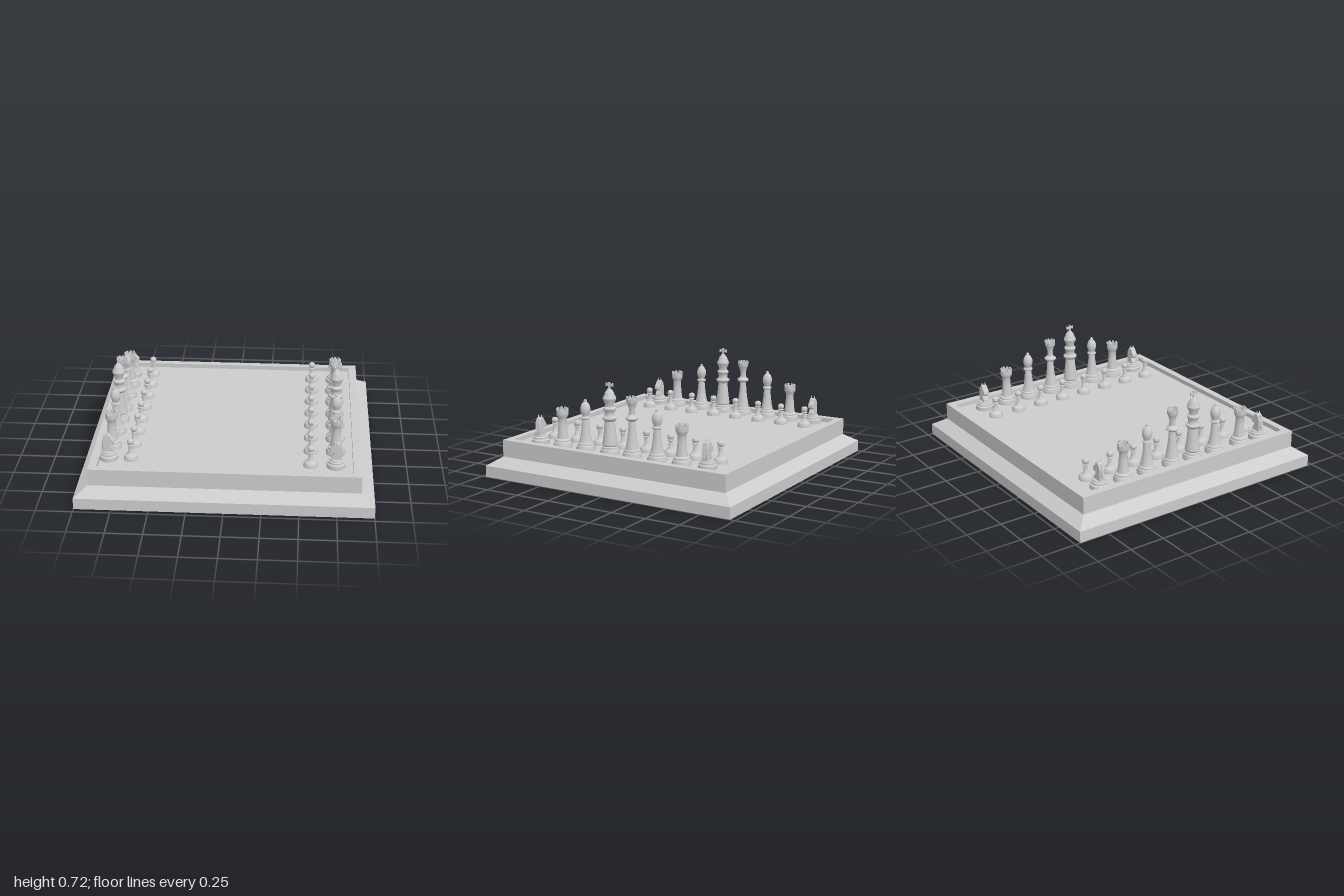
import * as THREE from 'three';
import { toCreasedNormals } from 'three/addons/utils/BufferGeometryUtils.js';

const FLOOR = 0.225;
const mat = new THREE.MeshStandardMaterial({ color: 0xcccccc });
const solid = new THREE.MeshStandardMaterial({ color: 0xcccccc, side: THREE.DoubleSide });

function mesh(name, geometry, material = mat) {
  const m = new THREE.Mesh(geometry, material);
  m.name = name;
  return m;
}

// Turned body from [radius, height] points
function turned(name, profile) {
  const pts = profile.map(([r, y]) => new THREE.Vector2(r, y));
  return mesh(name, toCreasedNormals(new THREE.LatheGeometry(pts, 24), 0.5), solid);
}

// Small blocks standing in a ring, for battlements and crown points
function ringOfBlocks(name, count, radius, y, w, h, d) {
  const g = new THREE.Group();
  g.name = name;
  for (let i = 0; i < count; i++) {
    const a = (i / count) * Math.PI * 2;
    const b = mesh(name + 'Block', new THREE.BoxGeometry(w, h, d));
    b.position.set(Math.sin(a) * radius, y, Math.cos(a) * radius);
    b.rotation.y = a;
    g.add(b);
  }
  return g;
}

function piece(name, ...parts) {
  const g = new THREE.Group();
  g.name = name;
  g.add(...parts);
  return g;
}

// Board: rectangular sections [half width, half depth, height] joined in loops
function board() {
  const rings = [[0, 0, 0], [1, 0.965, 0], [1, 0.965, 0.08], [0.91, 0.88, 0.137], [0.91, 0.88, 0.256],
    [0.855, 0.83, 0.256], [0.855, 0.83, FLOOR], [0, 0, FLOOR]];
  const corners = [[1, 1], [1, -1], [-1, -1], [-1, 1]];
  const at = (r, c) => [r[0] * corners[c % 4][0], r[2], r[1] * corners[c % 4][1]];
  const pos = [];
  for (let i = 0; i < rings.length - 1; i++) {
    const lo = rings[i], hi = rings[i + 1];
    for (let c = 0; c < 4; c++) {
      if (lo[0] > 0) pos.push(...at(lo, c), ...at(lo, c + 1), ...at(hi, c + 1));
      if (hi[0] > 0) pos.push(...at(lo, c), ...at(hi, c + 1), ...at(hi, c));
    }
  }
  const geo = new THREE.BufferGeometry();
  geo.setAttribute('position', new THREE.Float32BufferAttribute(pos, 3));
  geo.computeVertexNormals();
  return mesh('board', geo);
}

// Wide stepped foot shared by the tall pieces
const foot = [[0, 0], [0.067, 0], [0.067, 0.016], [0.06, 0.034], [0.054, 0.038], [0.054, 0.05], [0.046, 0.055]];

function pawn() {
  return piece('pawn', turned('pawnBody', [[0, 0], [0.049, 0], [0.049, 0.014], [0.042, 0.03], [0.025, 0.042],
    [0.016, 0.06], [0.013, 0.085], [0.013, 0.098], [0.022, 0.102], [0.022, 0.108], [0.016, 0.111],
    [0.022, 0.12], [0.024, 0.13], [0.021, 0.141], [0.013, 0.148], [0, 0.151]]));
}

function rook() {
  return piece('rook',
    turned('rookBody', [...foot, [0.04, 0.06], [0.034, 0.1], [0.03, 0.15], [0.028, 0.195], [0.032, 0.205],
      [0.042, 0.225], [0.042, 0.255], [0.031, 0.255], [0.031, 0.235], [0, 0.235]]),
    ringOfBlocks('battlements', 8, 0.0365, 0.262, 0.017, 0.016, 0.01));
}

function bishop() {
  return piece('bishop', turned('bishopBody', [...foot, [0.043, 0.065], [0.034, 0.11], [0.027, 0.17],
    [0.024, 0.215], [0.033, 0.221], [0.033, 0.229], [0.024, 0.234], [0.024, 0.245], [0.031, 0.26],
    [0.035, 0.28], [0.033, 0.3], [0.025, 0.32], [0.014, 0.333], [0.01, 0.336], [0.011, 0.344], [0.006, 0.351], [0, 0.352]]));
}

function queen() {
  return piece('queen',
    turned('queenBody', [...foot, [0.044, 0.065], [0.034, 0.12], [0.026, 0.19], [0.022, 0.245], [0.032, 0.251],
      [0.043, 0.262], [0.043, 0.27], [0.03, 0.279], [0.022, 0.29], [0.02, 0.325], [0.026, 0.345],
      [0.028, 0.355], [0.037, 0.37], [0.039, 0.395], [0.028, 0.395], [0.024, 0.378], [0, 0.378]]),
    ringOfBlocks('crownPoints', 10, 0.034, 0.402, 0.013, 0.015, 0.009));
}

function king() {
  const upright = mesh('crossUpright', new THREE.BoxGeometry(0.012, 0.05, 0.012));
  upright.position.y = 0.466;
  const arm = mesh('crossArm', new THREE.BoxGeometry(0.012, 0.012, 0.05));
  arm.position.y = 0.473;
  const armTips = [-1, 1].map((s) => {
    const t = mesh('crossTip', new THREE.BoxGeometry(0.012, 0.022, 0.008));
    t.position.set(0, 0.473, s * 0.024);
    return t;
  });
  return piece('king',
    turned('kingBody', [...foot, [0.052, 0.065], [0.046, 0.11], [0.039, 0.17], [0.034, 0.225], [0.042, 0.231],
      [0.05, 0.243], [0.05, 0.252], [0.038, 0.258], [0.033, 0.27], [0.034, 0.29], [0.043, 0.305], [0.043, 0.315],
      [0.03, 0.325], [0.03, 0.342], [0.042, 0.368], [0.046, 0.381], [0.043, 0.39], [0.034, 0.405],
      [0.031, 0.42], [0.018, 0.437], [0.012, 0.445], [0, 0.447]]),
    upright, arm, ...armTips);
}

// Horse head faces +x
function knight() {
  const s = new THREE.Shape([[-0.032, 0.055], [0.03, 0.055], [0.028, 0.075], [0.014, 0.1], [0.013, 0.117],
    [0.03, 0.112], [0.04, 0.122], [0.037, 0.14], [0.02, 0.16], [0.01, 0.178], [-0.006, 0.181],
    [-0.022, 0.168], [-0.033, 0.14], [-0.035, 0.1]].map(([x, y]) => new THREE.Vector2(x, y)));
  const slab = (w) => new THREE.ExtrudeGeometry(s, { depth: w, bevelEnabled: true, bevelSize: 0.003,
    bevelThickness: 0.005, bevelSegments: 1 }).translate(0, 0, -w / 2);
  const ears = [-1, 1].map((side) => {
    const ear = mesh('ear', new THREE.ConeGeometry(0.009, 0.034, 6));
    ear.position.set(-0.002, 0.19, side * 0.012);
    return ear;
  });
  const mane = mesh('mane', new THREE.BoxGeometry(0.014, 0.095, 0.012));
  mane.position.set(-0.034, 0.128, 0);
  mane.rotation.z = -0.2;
  return piece('knight',
    turned('knightBase', [[0, 0], [0.063, 0], [0.063, 0.028], [0.055, 0.034], [0.052, 0.034], [0.052, 0.046],
      [0.044, 0.05], [0.042, 0.06], [0, 0.06]]),
    mesh('horseHead', slab(0.03)), mane, ...ears);
}

export function createModel() {
  const model = new THREE.Group();
  model.name = 'chessSet';
  model.add(board());

  const order = [knight, rook, bishop, queen, king, bishop, rook, knight];
  const sides = [
    { name: 'rightArmy', back: -0.795, front: -0.645, turn: 0, pawnStart: -0.683,
      z: [-0.68, -0.49, -0.3, -0.093, 0.082, 0.272, 0.492, 0.657] },
    { name: 'leftArmy', back: 0.74, front: 0.57, turn: Math.PI, pawnStart: -0.657,
      z: [-0.655, -0.463, -0.274, -0.078, 0.1, 0.298, 0.49, 0.68] },
  ];
  for (const side of sides) {
    const army = new THREE.Group();
    army.name = side.name;
    order.forEach((make, i) => {
      const p = make();
      p.position.set(side.back, FLOOR, side.z[i]);
      p.rotation.y = side.turn;
      const q = pawn();
      q.position.set(side.front, FLOOR, side.pawnStart + i * 0.191);
      army.add(p, q);
    });
    model.add(army);
  }
  return model;
}
